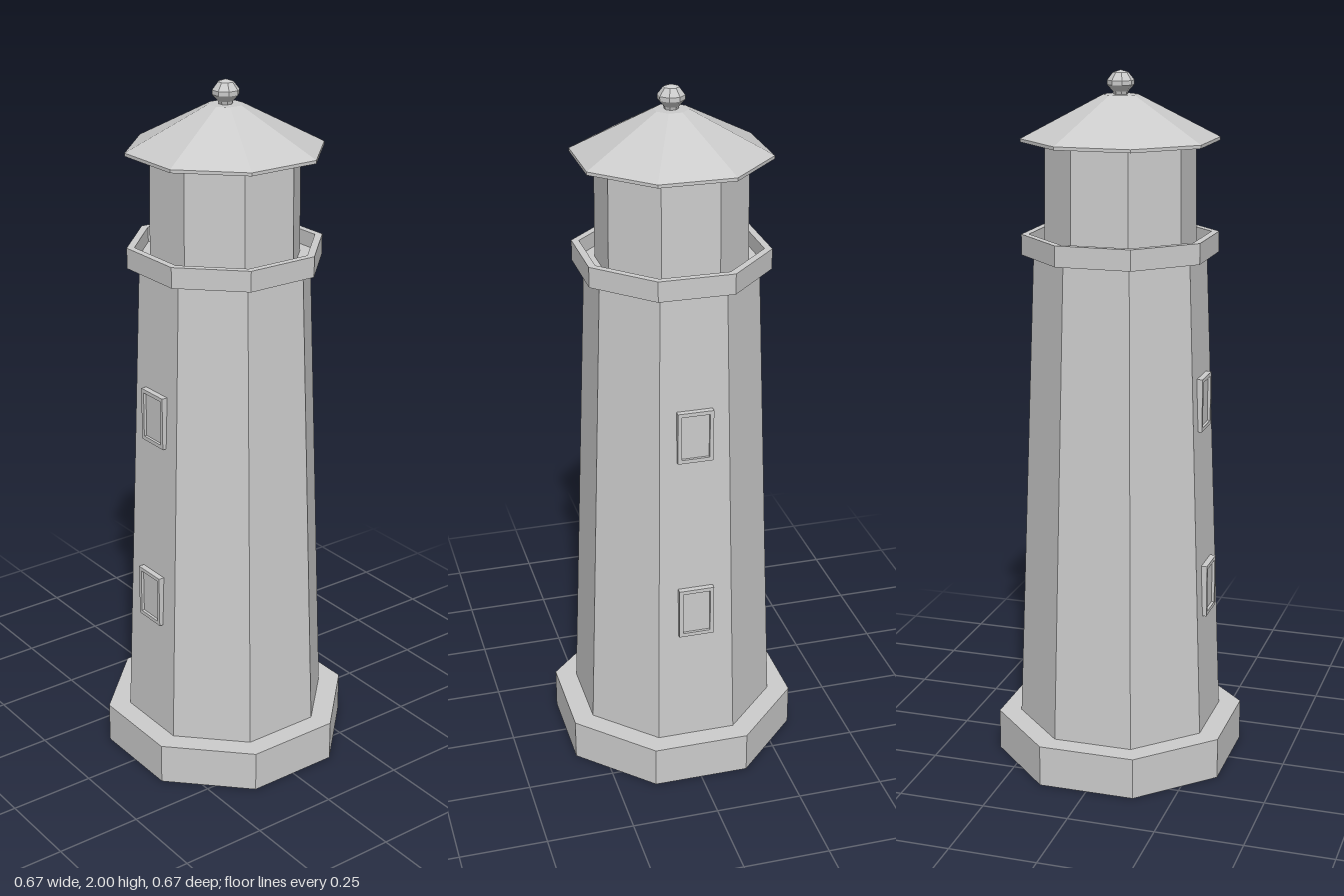
import * as THREE from 'three';

const material = new THREE.MeshStandardMaterial({ color: 0xcccccc, flatShading: true });
const CORNER = 1 / Math.cos(Math.PI / 8); // apothem to corner radius

// Eight-sided solid from a profile of [apothem, y], flat sides facing x and z
function octagon(name, profile) {
  const points = profile.map(([a, y]) => new THREE.Vector2(a * CORNER, y));
  const mesh = new THREE.Mesh(new THREE.LatheGeometry(points, 8, Math.PI / 8), material);
  mesh.name = name;
  return mesh;
}

// Window with a raised frame and a recessed pane, outer face at z = 0
function createWindow(width, height, depth, border) {
  const group = new THREE.Group();
  const w = width / 2, h = height / 2;
  const outline = new THREE.Shape([[-w, -h], [w, -h], [w, h], [-w, h]].map(p => new THREE.Vector2(...p)));
  const iw = w - border, ih = h - border;
  outline.holes.push(new THREE.Path([[-iw, -ih], [-iw, ih], [iw, ih], [iw, -ih]].map(p => new THREE.Vector2(...p))));
  const frame = new THREE.Mesh(new THREE.ExtrudeGeometry(outline, { depth, bevelEnabled: false }), material);
  frame.position.z = -depth;
  frame.name = 'windowFrame';
  const pane = new THREE.Mesh(new THREE.BoxGeometry(iw * 2, ih * 2, depth - 0.008), material);
  pane.position.z = -0.008 - (depth - 0.008) / 2;
  pane.name = 'windowPane';
  group.add(frame, pane);
  return group;
}

export function createModel() {
  const model = new THREE.Group();
  model.name = 'lighthouse';

  // Plinth and tapering tower
  model.add(octagon('base', [[0, 0], [0.335, 0], [0.335, 0.12], [0, 0.12]]));
  model.add(octagon('tower', [[0.275, 0.12], [0.225, 1.5]]));

  // Gallery with a low parapet around a sunken floor
  model.add(octagon('gallery', [
    [0, 1.495], [0.256, 1.495], [0.256, 1.553], [0.236, 1.553], [0.236, 1.51], [0, 1.51],
  ]));

  // Lantern room
  model.add(octagon('lanternRoom', [[0.197, 1.51], [0.194, 1.812]]));

  // Roof with a thin eave and a small flat top
  model.add(octagon('roof', [[0, 1.807], [0.256, 1.807], [0.256, 1.816], [0.045, 1.934], [0, 1.934]]));

  // Finial
  model.add(octagon('finial', [
    [0.017, 1.932], [0.02, 1.942], [0.035, 1.96], [0.035, 1.972], [0.02, 1.993], [0, 2],
  ]));

  // Two windows on the front and two on the back
  for (const [side, turn] of [['front', 0], ['back', Math.PI]]) {
    const windows = new THREE.Group();
    windows.name = side + 'Windows';
    windows.rotation.y = turn;
    for (const [level, y, z] of [['lower', 0.535, 0.274], ['upper', 1.085, 0.254]]) {
      const win = createWindow(0.102, 0.152, 0.04, 0.011);
      win.name = level + 'Window';
      win.position.set(0, y, z);
      windows.add(win);
    }
    model.add(windows);
  }
  return model;
}
